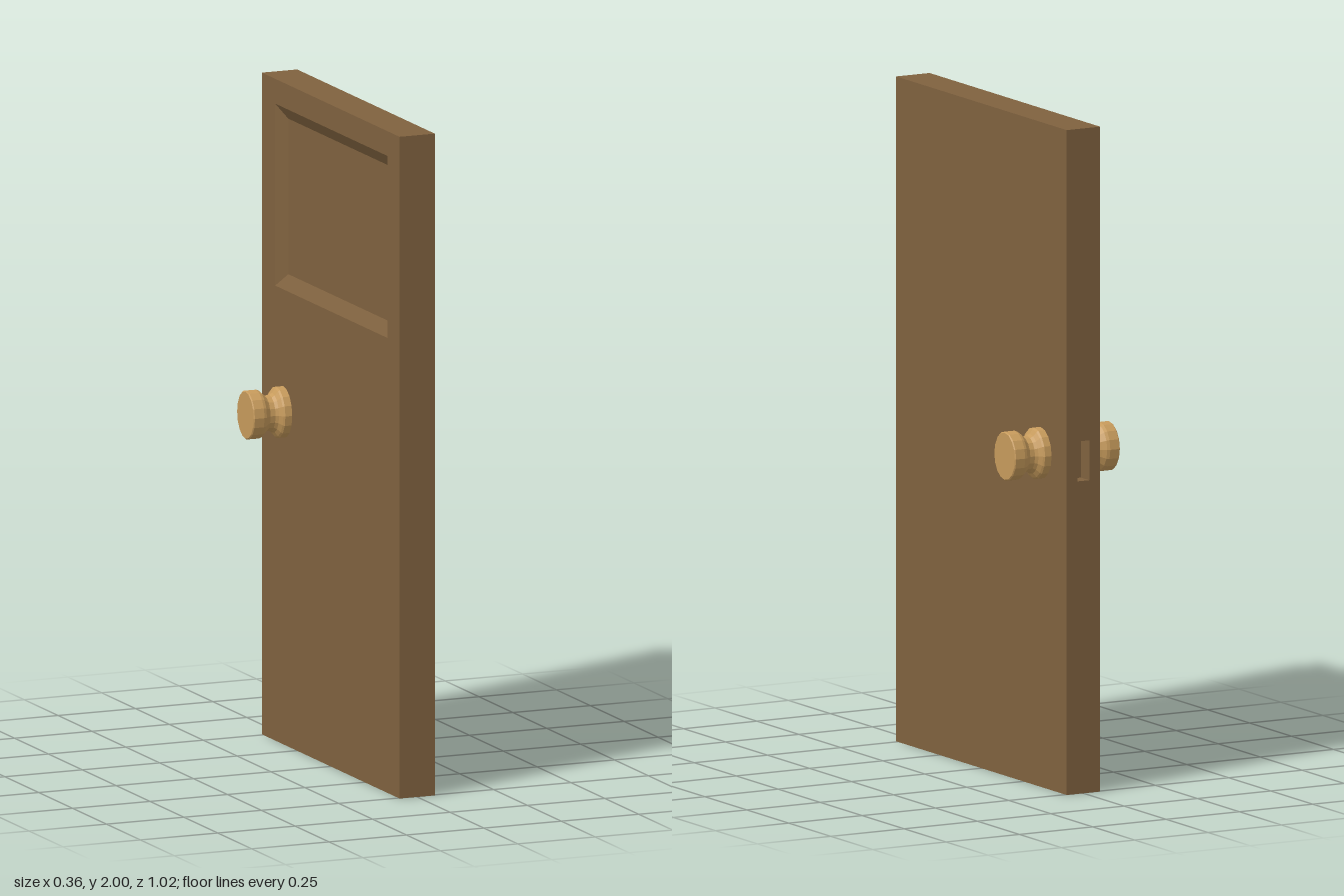
import * as THREE from 'three';
import { mergeGeometries } from 'three/addons/utils/BufferGeometryUtils.js';

const HX = 0.057, HY = 1, HZ = 0.508; // half sizes of the door slab

const rect = (x0, y0, x1, y1) => [[x0, y0], [x1, y0], [x1, y1], [x0, y1]];
const toPath = (pts, Type) => new Type(pts.map(([x, y]) => new THREE.Vector2(x, y)));

// Flat rectangle facing +z, optionally with a sunken rectangular recess
function face(hw, hh, recess) {
  const shape = toPath(rect(-hw, -hh, hw, hh), THREE.Shape);
  if (!recess) return new THREE.ShapeGeometry(shape).toNonIndexed();

  const { x0, y0, x1, y1, inset, depth } = recess;
  const rim = rect(x0, y0, x1, y1);
  const floor = rect(x0 + inset, y0 + inset, x1 - inset, y1 - inset);
  shape.holes.push(toPath(rim, THREE.Path));

  // Walls from the rim down to the floor, then the floor itself
  const pos = [];
  const quad = (a, b, c, d) => pos.push(...a, ...b, ...c, ...a, ...c, ...d);
  const low = floor.map(([x, y]) => [x, y, -depth]);
  for (let i = 0; i < 4; i++) {
    const j = (i + 1) % 4;
    quad([...rim[i], 0], [...rim[j], 0], low[j], low[i]);
  }
  quad(...low);
  const sunk = new THREE.BufferGeometry();
  sunk.setAttribute('position', new THREE.Float32BufferAttribute(pos, 3));
  sunk.computeVertexNormals();
  const front = new THREE.ShapeGeometry(shape).toNonIndexed();
  front.deleteAttribute('uv');
  return mergeGeometries([front, sunk]);
}

export function createModel() {
  const group = new THREE.Group();
  const wood = new THREE.MeshStandardMaterial({ color: 0x80623f });
  const brass = new THREE.MeshStandardMaterial({ color: 0xc79b5c, flatShading: true });

  // Slab: six faces, one with a sunken panel and one with the latch slot
  const panel = { x0: -0.41, y0: 0.375, x1: 0.42, y1: 0.925, inset: 0.04, depth: 0.025 };
  const latch = { x0: -0.02, y0: -0.06, x1: 0.02, y1: 0.06, inset: 0, depth: 0.05 };
  const Q = Math.PI / 2;
  const parts = [
    face(HZ, HY).translate(0, 0, HX).rotateY(Q),
    face(HZ, HY, panel).translate(0, 0, HX).rotateY(-Q),
    face(HX, HY).translate(0, 0, HZ),
    face(HX, HY, latch).translate(0, 0, HZ).rotateY(2 * Q),
    face(HX, HZ).translate(0, 0, HY).rotateX(-Q),
    face(HX, HZ).translate(0, 0, HY).rotateX(Q),
  ];
  parts.forEach((g) => g.deleteAttribute('uv'));
  const slab = new THREE.Mesh(mergeGeometries(parts), wood);
  slab.name = 'doorSlab';
  slab.position.y = HY;
  group.add(slab);

  // Knobs: slightly oval turned profile, one on each side
  const profile = [
    [0.067, 0.05], [0.067, 0.079], [0.063, 0.084], [0.052, 0.093], [0.047, 0.102],
    [0.047, 0.118], [0.052, 0.125], [0.061, 0.136], [0.064, 0.145], [0.064, 0.176],
    [0.061, 0.179], [0, 0.179],
  ].map(([r, h]) => new THREE.Vector2(r, h));
  const knobGeometry = new THREE.LatheGeometry(profile, 16).rotateZ(-Q).scale(1, 1.16, 1);
  [['leftKnob', 0], ['rightKnob', Math.PI]].forEach(([name, turn]) => {
    const knob = new THREE.Mesh(knobGeometry, brass);
    knob.name = name;
    knob.position.set(0, 1.005, -0.351);
    knob.rotation.y = turn;
    group.add(knob);
  });

  return group;
}
